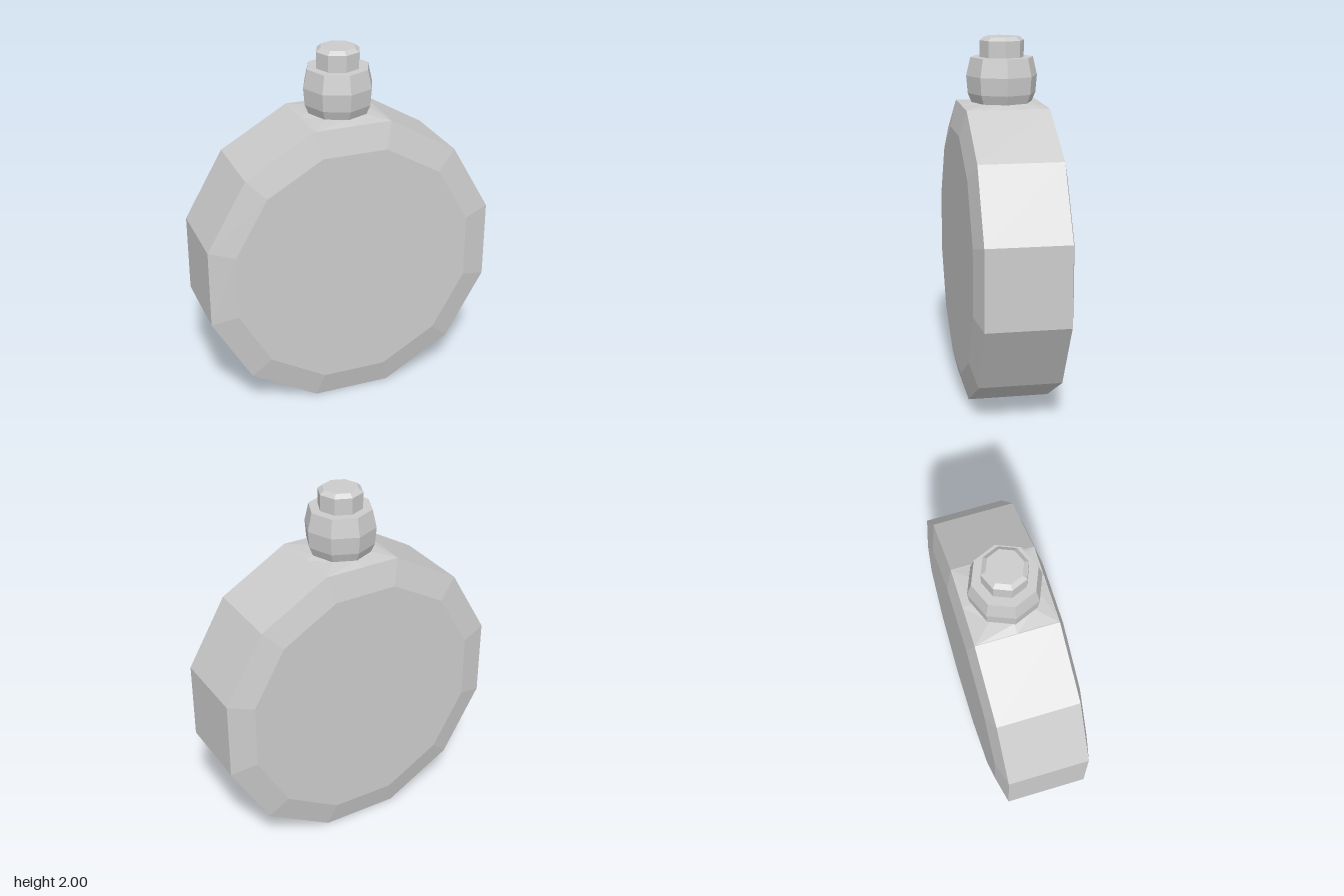
import * as THREE from 'three';

const material = new THREE.MeshStandardMaterial({ color: 0xcccccc, flatShading: true });

// Faceted solid of revolution from [radius, height] pairs, bottom to top
function lathe(profile, sides, phase = 0) {
  const points = profile.map(([r, y]) => new THREE.Vector2(r, y));
  return new THREE.LatheGeometry(points, sides, phase);
}

export function createModel() {
  const group = new THREE.Group();
  const add = (name, geometry, y = 0) => {
    const mesh = new THREE.Mesh(geometry, material);
    mesh.name = name;
    mesh.position.y = y;
    group.add(mesh);
  };

  // Twelve-sided round bottle with bevelled front and back, lying on its rim
  const rim = 0.815 / Math.cos(Math.PI / 12);
  const face = 0.672 / Math.cos(Math.PI / 12);
  const body = lathe(
    [[0, -0.262], [face, -0.262], [rim, -0.225], [rim, 0.225], [face, 0.262], [0, 0.262]],
    12, Math.PI / 12);
  body.rotateX(Math.PI / 2);
  add('bottleBody', body, 0.815);

  // Shallow shoulder: octagon at the top, spread to the flat's rectangle below
  const shoulder = new THREE.CylinderGeometry(0.165, 1, 0.017, 8, 1);
  const pos = shoulder.attributes.position;
  const side = (v) => (Math.abs(v) < 0.01 ? 0 : Math.sign(v));
  for (let i = 0; i < pos.count; i++) {
    if (pos.getY(i) < 0) {
      pos.setX(i, side(pos.getX(i)) * 0.218);
      pos.setZ(i, side(pos.getZ(i)) * 0.225);
    }
  }
  shoulder.computeVertexNormals();
  add('shoulder', shoulder, 1.6375);

  // Bulging octagonal collar
  add('collar', lathe(
    [[0.165, 1.64], [0.188, 1.695], [0.196, 1.79], [0.173, 1.89], [0.1, 1.89]], 8));

  // Stopper with a bevelled top
  add('stopper', lathe([[0.122, 1.88], [0.122, 1.98], [0.097, 2], [0, 2]], 8));

  return group;
}
